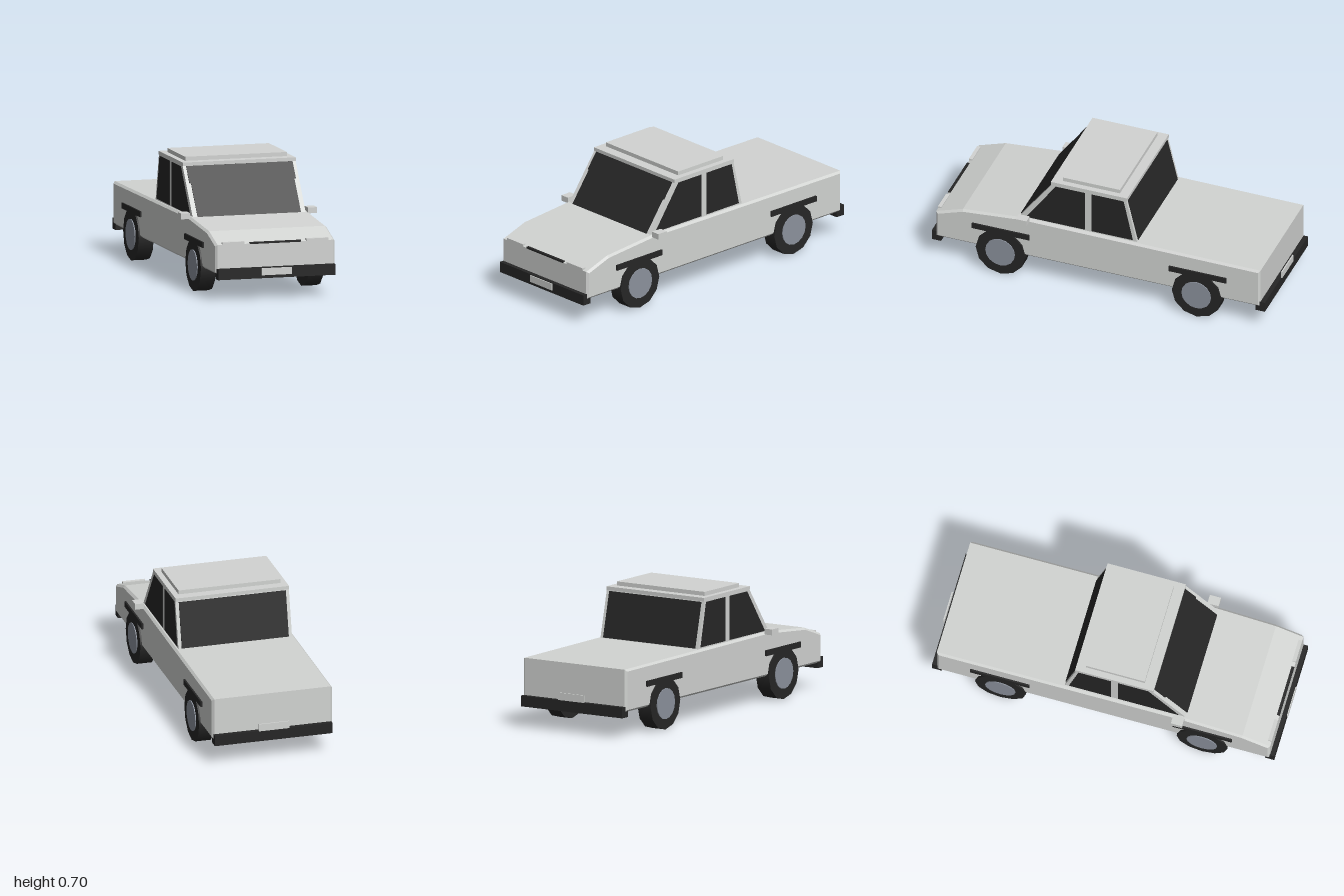
import * as THREE from 'three';

const material = (name, color) => {
  const m = new THREE.MeshStandardMaterial({ color });
  m.name = name;
  return m;
};

export function createModel() {
  const paint = material('lightGreyPaint', 0xd2d4d2);
  const dark = material('blackTrim', 0x262626);
  const hubGrey = material('hubGrey', 0x8c929d);
  const car = new THREE.Group();
  car.name = 'pickup';

  const add = (name, geometry, mat) => {
    const mesh = new THREE.Mesh(geometry, mat);
    mesh.name = name;
    car.add(mesh);
    return mesh;
  };

  // Box given by its limits on each axis
  const box = (name, mat, [x0, x1], [y0, y1], [z0, z1]) => {
    const g = new THREE.BoxGeometry(x1 - x0, y1 - y0, z1 - z0);
    g.translate((x0 + x1) / 2, (y0 + y1) / 2, (z0 + z1) / 2);
    return add(name, g, mat);
  };

  // Side profile of [z, y] points, extruded across the car around x = cx
  const profile = (name, mat, points, width, cx = 0, bevel = 0) => {
    const shape = new THREE.Shape(points.map(([z, y]) => new THREE.Vector2(z, y)));
    const depth = width - 2 * bevel;
    const g = new THREE.ExtrudeGeometry(shape, {
      depth, bevelEnabled: bevel > 0, bevelThickness: bevel,
      bevelSize: bevel, bevelOffset: -bevel, bevelSegments: 1,
    });
    g.translate(0, 0, -depth / 2);
    g.rotateY(-Math.PI / 2);
    g.translate(cx, 0, 0);
    return add(name, g, mat);
  };

  // Lower body with sloping bonnet and covered bed
  profile('body', paint, [
    [-0.965, 0.15], [0.97, 0.15], [0.97, 0.315], [0.81, 0.37],
    [0.45, 0.402], [-0.965, 0.392],
  ], 0.7, 0, 0.012);

  // Cabin, roof and raised roof panel
  profile('cabin', paint, [[-0.225, 0.39], [0.482, 0.39], [0.285, 0.662], [-0.16, 0.662]], 0.66);
  box('roof', paint, [-0.33, 0.33], [0.66, 0.68], [-0.165, 0.29]);
  box('roofPanel', paint, [-0.297, 0.297], [0.68, 0.703], [-0.11, 0.23]);

  // Windscreen and rear window
  profile('windscreen', dark, [[0.474, 0.4], [0.48, 0.4], [0.291, 0.66], [0.285, 0.66]], 0.604);
  profile('windscreenTop', dark, [[0.35, 0.572], [0.355, 0.572], [0.291, 0.66], [0.286, 0.66]], 0.622);
  profile('rearWindow', dark, [[-0.226, 0.4], [-0.22, 0.4], [-0.159, 0.655], [-0.165, 0.655]], 0.622);

  for (const side of [-1, 1]) {
    const label = side > 0 ? 'left' : 'right';
    const span = (a, b) => (side > 0 ? [a, b] : [-b, -a]);

    // Side windows
    profile(label + 'FrontWindow', dark,
      [[0.085, 0.405], [0.437, 0.405], [0.26, 0.655], [0.085, 0.655]], 0.004, side * 0.33);
    profile(label + 'RearWindow', dark,
      [[-0.2, 0.405], [0.045, 0.405], [0.045, 0.655], [-0.145, 0.655]], 0.004, side * 0.33);

    // Mirror and headlight
    box(label + 'Mirror', paint, span(0.345, 0.397), [0.39, 0.423], [0.41, 0.475]);
    box(label + 'Headlight', paint, span(0.18, 0.31), [0.312, 0.328], [0.95, 0.971]);

    // Wheels with hub discs and straight arch strips
    for (const [end, z, archZ] of [['Front', 0.58, 0.58], ['Rear', -0.59, -0.595]]) {
      const tyre = new THREE.CylinderGeometry(0.147, 0.147, 0.088, 12);
      tyre.rotateZ(Math.PI / 2);
      add(label + end + 'Tyre', tyre, dark).position.set(side * 0.316, 0.147, z);
      const hub = new THREE.CylinderGeometry(0.088, 0.088, 0.02, 16);
      hub.rotateZ(Math.PI / 2);
      add(label + end + 'Hub', hub, hubGrey).position.set(side * 0.355, 0.147, z);
      box(label + end + 'Arch', dark, span(0.335, 0.36), [0.268, 0.3], [archZ - 0.172, archZ + 0.172]);
    }
  }

  // Bumpers, grille line and number plates
  box('frontBumper', dark, [-0.342, 0.342], [0.12, 0.181], [0.94, 0.995]);
  box('rearBumper', dark, [-0.342, 0.342], [0.12, 0.181], [-0.992, -0.935]);
  box('grille', dark, [-0.15, 0.15], [0.312, 0.322], [0.955, 0.971]);
  box('frontPlate', paint, [-0.088, 0.088], [0.137, 0.177], [0.994, 1.0]);
  box('rearPlate', paint, [-0.088, 0.088], [0.183, 0.225], [-1.0, -0.993]);

  return car;
}
